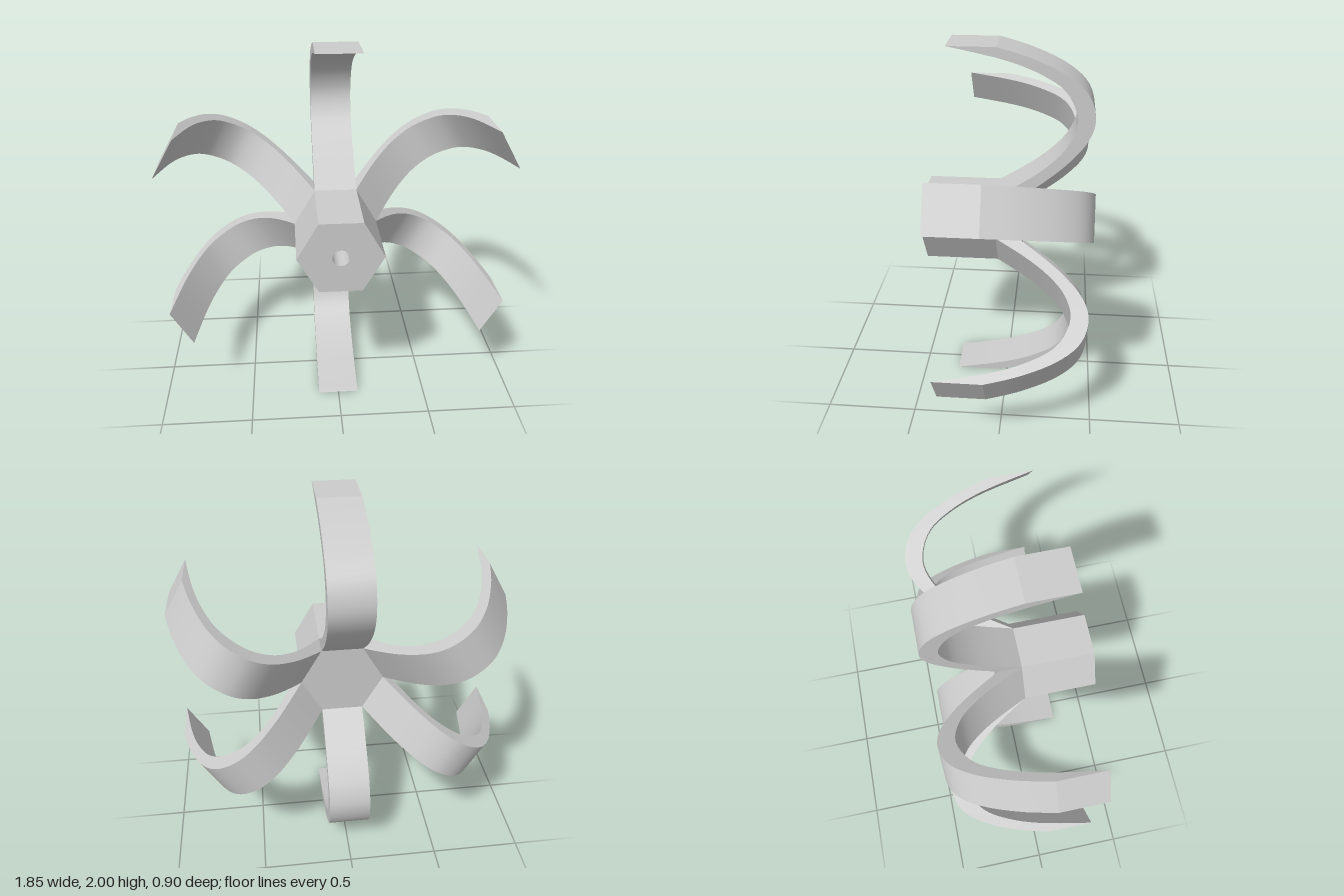
import * as THREE from 'three';
import { toCreasedNormals } from 'three/addons/utils/BufferGeometryUtils.js';

const HUB_RADIUS = 0.228;
const APOTHEM = HUB_RADIUS * Math.cos(Math.PI / 6);
const BACK = -0.08, FRONT = 0.45, HOLE_DEPTH = 0.3;

const points = (list) => list.map(([r, z]) => new THREE.Vector2(r, z));

function hexagon() {
  const corners = [];
  for (let i = 0; i < 6; i++) {
    const a = (i * Math.PI) / 3;
    corners.push(new THREE.Vector2(Math.cos(a), Math.sin(a)).multiplyScalar(HUB_RADIUS));
  }
  return new THREE.Shape(corners);
}

// Curved blade: side profile in (radius, z), extruded across its width
function armGeometry() {
  const profile = new THREE.Shape();
  profile.moveTo(APOTHEM, 0.05);
  profile.splineThru(points([ // front curve out to the sharp tip
    [0.3, -0.11], [0.4, -0.235], [0.51, -0.325], [0.64, -0.36],
    [0.78, -0.3], [0.87, -0.17], [0.94, 0.02], [1, 0.3],
  ]));
  profile.lineTo(1, 0.05); // flat outer end
  profile.splineThru(points([ // rear curve back to the hub
    [0.95, -0.12], [0.87, -0.295], [0.77, -0.41], [0.64, -0.45],
    [0.52, -0.415], [0.4, -0.32], [0.3, -0.21], [APOTHEM, BACK],
  ]));
  const geometry = new THREE.ExtrudeGeometry(profile, {
    depth: HUB_RADIUS, bevelEnabled: false, curveSegments: 4,
  });
  geometry.translate(0, 0, -HUB_RADIUS / 2).rotateX(Math.PI / 2);
  return toCreasedNormals(geometry, 0.22);
}

export function createModel() {
  const model = new THREE.Group();
  model.name = 'sixArmedRotor';
  const material = new THREE.MeshStandardMaterial({ color: 0xcccccc });
  const add = (name, geometry) => {
    const mesh = new THREE.Mesh(geometry, material);
    mesh.name = name;
    mesh.position.y = 1;
    model.add(mesh);
    return mesh;
  };

  // Hexagonal hub: solid rear, front with a blind axle hole
  const rear = new THREE.ExtrudeGeometry(hexagon(), {
    depth: FRONT - HOLE_DEPTH - BACK, bevelEnabled: false,
  });
  add('hubRear', rear).position.z = BACK;

  const drilled = hexagon();
  drilled.holes.push(new THREE.Path().absarc(0, 0, 0.045, 0, Math.PI * 2, true));
  const front = new THREE.ExtrudeGeometry(drilled, {
    depth: HOLE_DEPTH, bevelEnabled: false, curveSegments: 24,
  });
  add('hubFront', toCreasedNormals(front, 0.5)).position.z = FRONT - HOLE_DEPTH;

  // Six arms, one on each face of the hub
  const arm = armGeometry();
  for (let i = 0; i < 6; i++) {
    add(`arm${i + 1}`, arm).rotation.z = Math.PI / 6 + (i * Math.PI) / 3;
  }
  return model;
}
